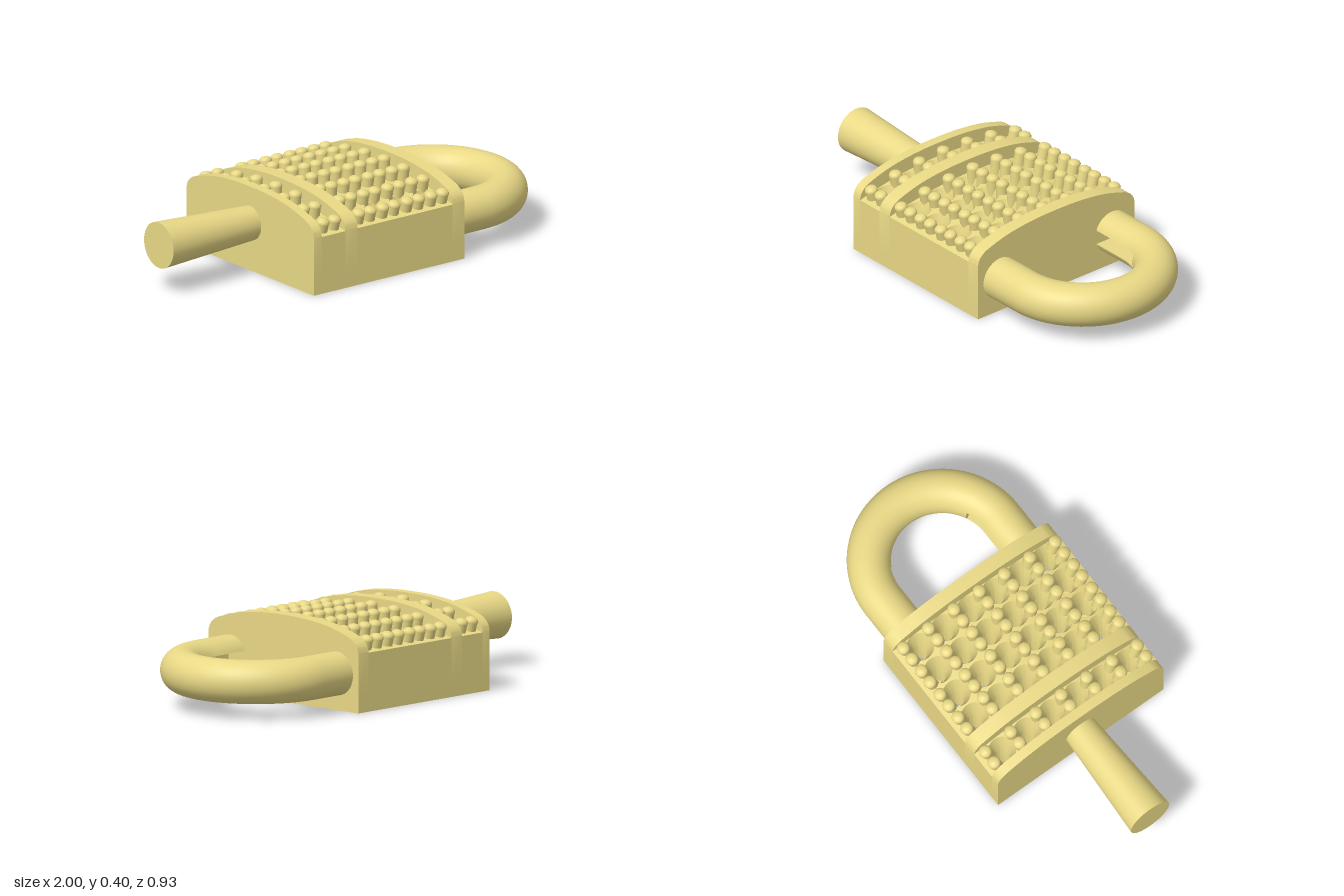
import * as THREE from 'three';
import { toCreasedNormals } from 'three/addons/utils/BufferGeometryUtils.js';

const material = new THREE.MeshStandardMaterial({ color: 0xe8d885 });
const X0 = -0.476, X1 = 0.387, HZ = 0.465, DECK = 0.06;
const floorY = z => 0.33 - 0.06 * (z / HZ) ** 2;

// Extrude a cross-section drawn in (-z, y) along x from a to b
function extrudeX(shape, a, b) {
  const g = new THREE.ExtrudeGeometry(shape, { depth: b - a, bevelEnabled: false });
  return toCreasedNormals(g.rotateY(Math.PI / 2).translate(a, 0, 0), 0.25);
}

// Skin a list of rings, each with the same number of [x, y, z] points
function loft(rings) {
  const n = rings[0].length, index = [];
  for (let i = 0; i < rings.length - 1; i++) for (let j = 0; j < n; j++) {
    const a = i * n + j, b = i * n + (j + 1) % n;
    index.push(a, a + n, b + n, a, b + n, b);
  }
  const g = new THREE.BufferGeometry();
  g.setAttribute('position', new THREE.Float32BufferAttribute(rings.flat(2), 3));
  g.setIndex(index);
  return toCreasedNormals(g, 0.5);
}

// Rectangular deck tile with a deep conical through hole
function tileGeometry(xa, xb, za, zb, cx, cz) {
  const rectangle = (t, y) => {
    const c = Math.cos(t), s = Math.sin(t), m = Math.max(Math.abs(c), Math.abs(s));
    const u = c / m, v = s / m;
    const x = cx + u * (u > 0 ? xb - cx : cx - xa);
    const z = cz + v * (v > 0 ? zb - cz : cz - za);
    return [x, y ?? floorY(z), z];
  };
  const circle = (t, r, y, drop = 0) => {
    const z = cz + r * Math.sin(t);
    return [cx + r * Math.cos(t), y ?? floorY(z) - drop, z];
  };
  const profile = [
    t => rectangle(t, DECK), t => rectangle(t), t => circle(t, 0.064),
    t => circle(t, 0.034, undefined, 0.09), t => circle(t, 0.034, DECK), t => rectangle(t, DECK),
  ];
  const angles = Array.from({ length: 32 }, (_, j) => j / 16 * Math.PI);
  return loft(profile.map(ring => angles.map(t => ring(t))));
}

// U-shaped round bar whose legs carry a slot along the inner side
function shackleGeometry(start, bendX, y, reach, tube) {
  const slotHalf = 0.035, slotFloor = -0.01, slotEnd = 0.45;
  const d = Math.asin(slotHalf / tube);
  const ring = (x, phi, slotted) => {
    const section = [];
    for (let k = 0; k <= 36; k++) {
      const t = d + k / 36 * (Math.PI * 2 - 2 * d);
      section.push([tube * Math.cos(t), tube * Math.sin(t)]);
    }
    for (const side of [-1, 1]) section.push(slotted ? [slotFloor, side * slotHalf]
      : [tube * Math.cos(d / 3), side * tube * Math.sin(d / 3)]);
    // Reversed so that the skin faces outward
    return section.reverse().map(([inward, up]) => [
      x + (reach - inward) * Math.sin(phi), y + up, (reach - inward) * Math.cos(phi)]);
  };
  const arc = (a, b, n, slotted) => Array.from({ length: n + 1 },
    (_, i) => ring(bendX, a + (b - a) * i / n, slotted));
  return loft([
    ring(start, 0, true), ...arc(0, slotEnd, 10, true),
    ...arc(slotEnd, Math.PI - slotEnd, 40, false),
    ...arc(Math.PI - slotEnd, Math.PI, 10, true), ring(start, Math.PI, true),
  ]);
}

export function createModel() {
  const model = new THREE.Group();
  const add = (name, geometry, parent = model) => {
    const mesh = new THREE.Mesh(geometry, material);
    mesh.name = name;
    parent.add(mesh);
    return mesh;
  };
  const group = name => {
    const g = new THREE.Group();
    g.name = name;
    model.add(g);
    return g;
  };

  // Lower body with shallow honeycomb cells open at the bottom
  const base = new THREE.Shape([[X0, -HZ], [X1, -HZ], [X1, HZ], [X0, HZ]].map(p => new THREE.Vector2(...p)));
  const s = 0.145, r = 0.115, edge = 0.03;
  const clamp = THREE.MathUtils.clamp;
  for (let i = 0; i < 4; i++) for (let j = -2; j <= 2; j++) {
    const cx = -0.045 + (i - 1.5) * 1.5 * s;
    const cz = (j + (i % 2 ? 0.5 : 0)) * Math.sqrt(3) * s;
    if (Math.abs(cz) > HZ) continue;
    const points = [];
    for (let k = 0; k < 6; k++) {
      const t = -k * Math.PI / 3;
      points.push(new THREE.Vector2(
        clamp(cx + r * Math.cos(t), X0 + edge, X1 - edge),
        clamp(cz + r * Math.sin(t), -HZ + edge, HZ - edge)));
    }
    base.holes.push(new THREE.Path(points));
  }
  const block = new THREE.ExtrudeGeometry(base, { depth: DECK, bevelEnabled: false });
  add('honeycombBase', block.rotateX(Math.PI / 2).translate(0, DECK, 0));

  // Domed ribs across the top
  const half = [[0.465, 0.275], [0.456, 0.302], [0.435, 0.325], [0.4, 0.343], [0.3, 0.372], [0.2, 0.388], [0.1, 0.396]];
  const dome = [...half, [0, 0.398], ...half.map(([z, y]) => [-z, y]).reverse()]
    .map(p => new THREE.Vector2(...p));
  const ribShape = new THREE.Shape([new THREE.Vector2(-HZ, DECK), new THREE.Vector2(HZ, DECK),
    ...new THREE.SplineCurve(dome).getPoints(84)]);
  const ribs = group('ribs');
  for (const [a, b] of [[X0, -0.43], [-0.295, -0.225], [0.32, X1]]) add('rib', extrudeX(ribShape, a, b), ribs);

  // Perforated deck and round-headed pins between the ribs
  const deck = group('perforatedDeck'), pins = group('pins');
  const columns = [[-0.43, -0.295, -0.3625], [-0.225, -0.0885, -0.157], [-0.0885, 0.05, -0.02],
    [0.05, 0.1885, 0.12], [0.1885, 0.32, 0.257]];
  const pitch = 0.143;
  const pinProfile = [[0.028, -0.03], [0.028, 0.035], [0.03, 0.042], [0.029, 0.05], [0.024, 0.058], [0.013, 0.063], [0, 0.065]];
  const pinGeometry = new THREE.LatheGeometry(pinProfile.map(p => new THREE.Vector2(...p)), 20);
  for (const [xa, xb, cx] of columns) {
    for (let j = -3; j < 3; j++) {
      const za = j === -3 ? -HZ : j * pitch, zb = j === 2 ? HZ : (j + 1) * pitch;
      add('deckTile', tileGeometry(xa, xb, za, zb, cx, (j + 0.5) * pitch), deck);
    }
    for (let j = -3; j <= 3; j++) for (const side of [-1, 1]) {
      const z = j * 0.139;
      const pin = add('pin', pinGeometry, pins);
      pin.position.set(cx + side * 0.033, floorY(z) - 0.002, z);
      pin.rotation.x = z * 0.6;
    }
  }

  // Tapered handle
  add('handle', new THREE.CylinderGeometry(0.108, 0.08, 0.525, 48)
    .rotateZ(Math.PI / 2).translate(-0.7375, 0.226, 0));

  // Slotted shackle
  add('shackle', shackleGeometry(X1 - 0.01, 0.568, 0.169, 0.332, 0.1));
  return model;
}
